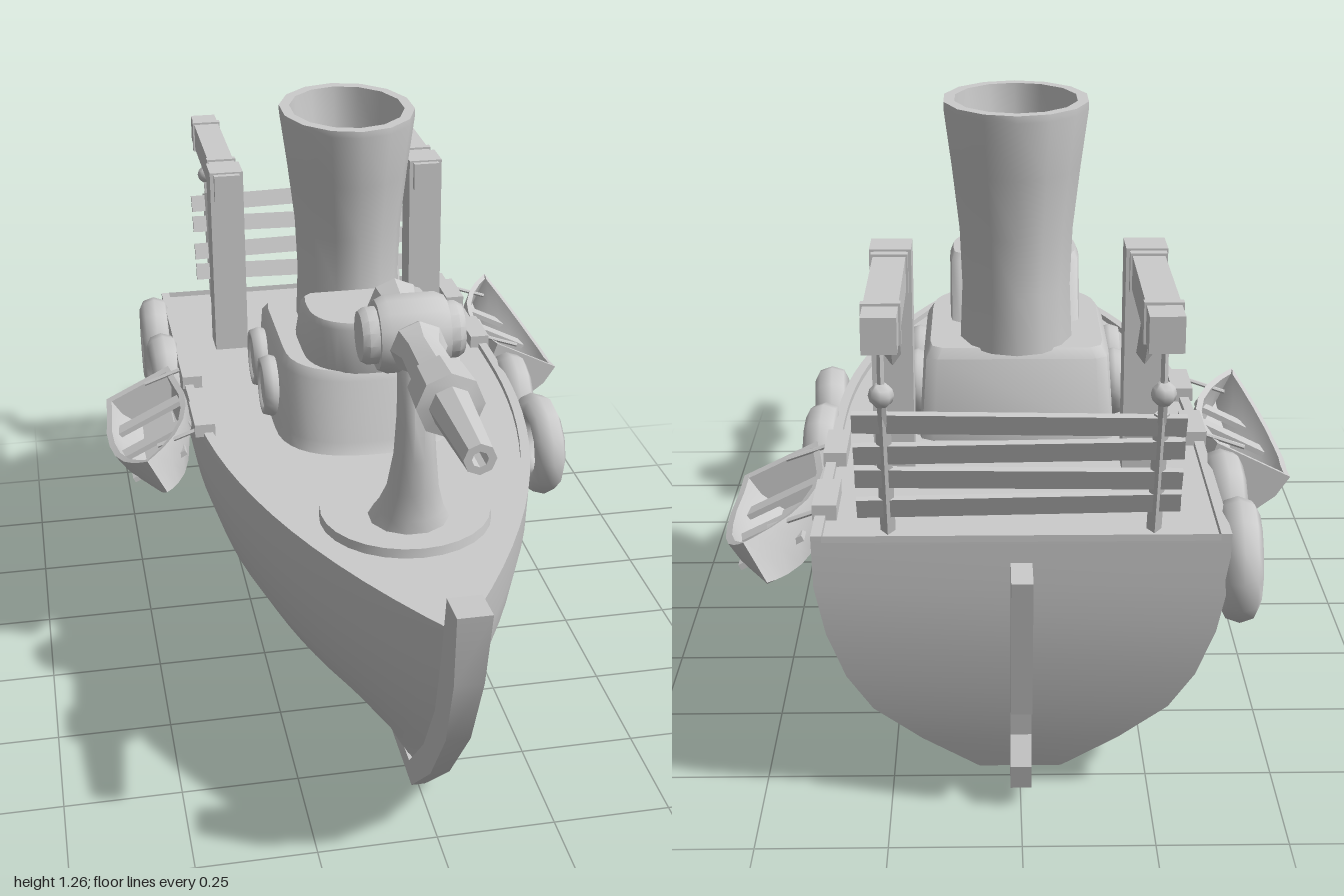
import * as THREE from 'three';
import { toCreasedNormals } from 'three/addons/utils/BufferGeometryUtils.js';

const mat = new THREE.MeshStandardMaterial({ color: 0xcccccc, side: THREE.DoubleSide });
const V = (x, y, z) => new THREE.Vector3(x, y, z);

function add(parent, name, geo, pos = [0, 0, 0], crease = 0.65) {
  const m = new THREE.Mesh(crease ? toCreasedNormals(geo, crease) : geo, mat);
  m.name = name;
  m.position.set(...pos);
  parent.add(m);
  return m;
}
const box = (p, name, size, pos) => add(p, name, new THREE.BoxGeometry(...size), pos, 0);

// Round or square bar between two points
function bar(p, name, a, b, r, sides = 6) {
  const m = add(p, name, new THREE.CylinderGeometry(r, r, a.distanceTo(b), sides));
  m.position.copy(a).lerp(b, 0.5);
  m.quaternion.setFromUnitVectors(V(0, 1, 0), b.clone().sub(a).normalize());
  return m;
}

// Skin closed rings; end caps join point i to its mirror n-1-i
function loft(rings) {
  const n = rings[0].length, idx = [], pts = rings.flat();
  for (let r = 0; r < rings.length - 1; r++)
    for (let i = 0; i < n; i++) {
      const a = r * n + i, b = r * n + (i + 1) % n;
      idx.push(a, b, b + n, a, b + n, a + n);
    }
  const end = (rings.length - 1) * n;
  for (let i = 0; i < n / 2 - 1; i++) {
    const q = [i, i + 1, n - 2 - i, n - 1 - i];
    idx.push(q[0], q[2], q[1], q[0], q[3], q[2]);
    idx.push(end + q[0], end + q[1], end + q[2], end + q[0], end + q[2], end + q[3]);
  }
  let vol = 0;
  for (let i = 0; i < idx.length; i += 3)
    vol += pts[idx[i]].dot(pts[idx[i + 1]].clone().cross(pts[idx[i + 2]]));
  if (vol < 0) idx.reverse();
  return new THREE.BufferGeometry().setFromPoints(pts).setIndex(idx);
}

// Side outline of [z, y] points, given a thickness in x
function sidePlate(points, width) {
  const s = new THREE.Shape(points.map(([z, y]) => new THREE.Vector2(-z, y)));
  return new THREE.ExtrudeGeometry(s, { depth: width, bevelEnabled: false })
    .translate(0, 0, -width / 2).rotateY(Math.PI / 2);
}
const lathe = (pts, sides) => new THREE.LatheGeometry(pts.map(p => new THREE.Vector2(...p)), sides);

function buildHull(g) {
  // Levels: y, half width, stern z, bow z
  const levels = [[0.572, 0.365, -0.89, 0.87], [0.585, 0.365, -0.89, 0.87], [0.585, 0.385, -0.89, 0.9],
    [0.48, 0.383, -0.885, 0.88], [0.38, 0.364, -0.875, 0.845], [0.28, 0.33, -0.855, 0.785],
    [0.2, 0.282, -0.835, 0.725], [0.12, 0.19, -0.81, 0.65], [0.04, 0.08, -0.78, 0.57]];
  const rings = [];
  for (let k = 0; k <= 24; k++) {
    const u = k / 24, f = 1 - Math.pow(Math.max(0, (u - 0.33) / 0.67), 2.2);
    const half = levels.map(([y, w, zs, zb]) => V(w * f, y, zs + (zb - zs) * u));
    rings.push([...half, ...half.map(p => V(-p.x, p.y, p.z)).reverse()]);
  }
  add(g, 'hull', loft(rings));

  const keel = sidePlate([[0.92, 0.68], [1, 0.685], [0.97, 0.52], [0.9, 0.35], [0.76, 0.17], [0.57, 0],
    [-0.78, 0.01], [-0.78, 0.05], [0.55, 0.05], [0.7, 0.2], [0.81, 0.36], [0.87, 0.52]], 1);
  const p = keel.attributes.position;
  for (let i = 0; i < p.count; i++) p.setX(i, p.getX(i) * (0.03 + 0.055 * p.getY(i)));
  keel.computeVertexNormals();
  add(g, 'keelAndStem', keel);
  add(g, 'rudder', sidePlate([[-0.89, 0.53], [-0.98, 0.53], [-0.915, 0.23], [-0.86, 0.21], [-0.85, 0.15],
    [-0.885, 0.1], [-0.87, 0.045], [-0.77, 0.03], [-0.8, 0.15], [-0.84, 0.25]], 0.04));
}

// U-shaped plan outline with rounded front
function cabinRing(y, hw, zf, zb, depth) {
  const half = [V(hw * 0.85, y, zb), V(hw * 0.97, y, zb + 0.015), V(hw, y, zb + 0.05)];
  for (let i = 0; i <= 9; i++) {
    const a = (i / 9) * Math.PI * 0.48, e = 2 / 2.5;
    half.push(V(hw * Math.cos(a) ** e, y, zf - depth + depth * Math.sin(a) ** e));
  }
  return [...half, ...half.map(p => V(-p.x, p.y, p.z)).reverse()];
}

function buildCabin(g) {
  add(g, 'cabin', loft([cabinRing(0.575, 0.205, 0.13, -0.39, 0.18), cabinRing(0.6, 0.202, 0.115, -0.388, 0.17),
    cabinRing(0.745, 0.193, 0.108, -0.365, 0.17), cabinRing(0.765, 0.18, 0.095, -0.35, 0.16)]));
  add(g, 'wheelhouse', loft([cabinRing(0.76, 0.14, 0.1, -0.18, 0.14),
    cabinRing(0.875, 0.142, 0.13, -0.085, 0.13), cabinRing(0.89, 0.135, 0.125, -0.07, 0.12)]));
  add(g, 'funnel', lathe([[0.12, 0.76], [0.115, 0.88], [0.12, 1.0], [0.135, 1.13], [0.151, 1.25], [0.151, 1.265],
    [0.128, 1.265], [0.118, 1.15], [0.1, 0.98], [0, 0.98]], 14), [0, 0, -0.235]).scale.z = 1.3;
  for (const s of [-1, 1]) for (const z of [-0.095, -0.26]) {
    const hole = new THREE.Group();
    hole.name = 'porthole';
    hole.position.set(s * 0.208, 0.66, z);
    hole.rotation.y = s * Math.PI / 2;
    add(hole, 'portholeRim', new THREE.TorusGeometry(0.058, 0.013, 6, 20), [0, 0, 0], 1.2).scale.z = 1.8;
    add(hole, 'portholeGlass', new THREE.CylinderGeometry(0.05, 0.05, 0.03, 20).rotateX(Math.PI / 2));
    g.add(hole);
  }
}

function buildGun(g) {
  add(g, 'gunBase', new THREE.CylinderGeometry(0.178, 0.18, 0.02, 28), [0, 0.582, 0.41]);
  // Sections: y, centre z, radius x, radius z
  const sections = [[0.585, 0.44, 0.088, 0.09], [0.62, 0.455, 0.07, 0.073], [0.68, 0.48, 0.053, 0.053],
    [0.76, 0.497, 0.043, 0.045], [0.85, 0.497, 0.037, 0.042], [0.95, 0.475, 0.032, 0.04]];
  add(g, 'gunPedestal', loft(sections.map(([y, z, rx, rz]) => Array.from({ length: 12 }, (_, i) => {
    const a = (i + 0.5) / 12 * Math.PI * 2;
    return V(rx * Math.cos(a), y, z + rz * Math.sin(a));
  }))));
  add(g, 'gunBarrel', lathe([[0, 0.32], [0.035, 0.29], [0.056, 0.29], [0.04, 0.37], [0.04, 0.48], [0.057, 0.52],
    [0.042, 0.56], [0.047, 0.69], [0.06, 0.69], [0.065, 0.785], [0.042, 0.79], [0.03, 1], [0.015, 1],
    [0.015, 0.94], [0, 0.94]], 8).rotateX(Math.PI / 2), [0, 1, 0]);
  add(g, 'gunPivot', lathe([[0, -0.103], [0.05, -0.103], [0.058, -0.09], [0.058, -0.07], [0.07, -0.07], [0.079, -0.05],
    [0.079, 0.05], [0.07, 0.07], [0.058, 0.07], [0.058, 0.09], [0.05, 0.103], [0, 0.103]], 14)
    .rotateZ(-Math.PI / 2), [0, 1, 0.44]);
}

function buildSternCranes(g) {
  for (const s of [-1, 1]) {
    const c = new THREE.Group(), x = s * 0.245;
    c.name = 'sternCrane';
    box(c, 'cranePost', [0.08, 0.46, 0.08], [x, 0.81, -0.54]);
    box(c, 'craneBeam', [0.062, 0.066, 0.515], [x, 1.003, -0.7425]);
    for (const z of [-0.61, -0.925]) box(c, 'craneBand', [0.07, 0.076, 0.018], [x, 1.003, z]);
    bar(c, 'craneBrace', V(x, 0.82, -0.57), V(x, 0.98, -0.73), 0.017, 4);
    bar(c, 'hookRope', V(x, 0.98, -0.965), V(x, 0.88, -0.965), 0.007);
    add(c, 'hookBall', new THREE.SphereGeometry(0.023, 8, 6), [x, 0.885, -0.965], 1);
    bar(c, 'railRope', V(x, 0.875, -0.962), V(x, 0.82, -0.938), 0.009);
    bar(c, 'rackRail', V(x, 0.84, -0.942), V(x, 0.58, -0.85), 0.014, 4);
    g.add(c);
  }
  // Slatted stern rack
  [0.82, 0.76, 0.7, 0.64].forEach((y, i) => {
    const m = box(g, 'rackSlat', [0.59, 0.042, 0.012], [0.005, y, -0.937 + (0.82 - y) * 0.354]);
    m.rotation.set(-0.34, 0, [0.02, -0.015, 0.015, -0.02][i]);
  });
}

// Rowing boat with bow at -z, hung outside the +x rail
function buildRowboat(g, centreZ, turn) {
  const side = new THREE.Group(), boat = new THREE.Group();
  side.name = 'rowboatSide';
  boat.name = 'rowboat';
  side.position.z = centreZ;
  side.rotation.y = turn;
  boat.position.set(0.48, 0.52, 0);
  boat.rotation.z = -0.46;

  const section = (u, t) => {
    const f = u < 0.3 ? 0.82 + 0.6 * u : 1 - Math.pow((u - 0.3) / 0.7, 2.3);
    const z = 0.24 - 0.49 * u, rim = 0.01 + 0.05 * Math.pow(Math.abs(u - 0.35) / 0.65, 2);
    const w = Math.max(0.105 * f - t, 0), b = -0.09 + 0.06 * u ** 4 + t;
    const half = [V(w, rim, z), V(w * 0.92, rim + (b - rim) * 0.45, z), V(w * 0.55, b, z)];
    return [...half, ...half.map(p => V(-p.x, p.y, p.z)).reverse()];
  };
  const us = [0, 0.15, 0.3, 0.45, 0.6, 0.75, 0.87, 0.95, 1];
  add(boat, 'rowboatShell', loft(us.map(u => [...section(u, 0), ...section(u, 0.014).reverse()])));
  add(boat, 'rowboatTransom', loft([section(0, 0.001), section(0.04, 0.001)]));
  for (const [z, w] of [[0.13, 0.17], [0, 0.185], [-0.12, 0.135]])
    box(boat, 'rowboatSeat', [w, 0.012, 0.04], [0, -0.02, z]);
  box(boat, 'rowboatFloor', [0.08, 0.01, 0.3], [0, -0.072, 0.05]);
  side.add(boat);

  for (const z of [0.175, -0.09])
    box(side, 'rowboatRailBlock', [0.046, 0.03, 0.13], [0.367, 0.59, z]);
  for (const z of [0.2, -0.14])
    bar(side, 'rowboatRope', V(0.37, 0.592, z), V(0.475, 0.555, z), 0.005);
  g.add(side);
}

function buildFenders(g) {
  for (const [s, z, tilt] of [[1, -0.02, 0.06], [1, -0.26, -0.03], [-1, -0.545, 0.03], [-1, -0.79, -0.03]]) {
    const m = add(g, 'tyreFender', new THREE.TorusGeometry(0.09, 0.03, 8, 12), [s * 0.413, 0.488, z], 1);
    m.rotation.y = Math.PI / 2 + tilt;
    m.scale.z = 1.25;
  }
}

export function createModel() {
  const g = new THREE.Group();
  g.name = 'gunboat';
  buildHull(g);
  buildCabin(g);
  buildGun(g);
  buildSternCranes(g);
  buildRowboat(g, -0.64, 0);
  buildRowboat(g, -0.185, Math.PI);
  buildFenders(g);
  return g;
}
